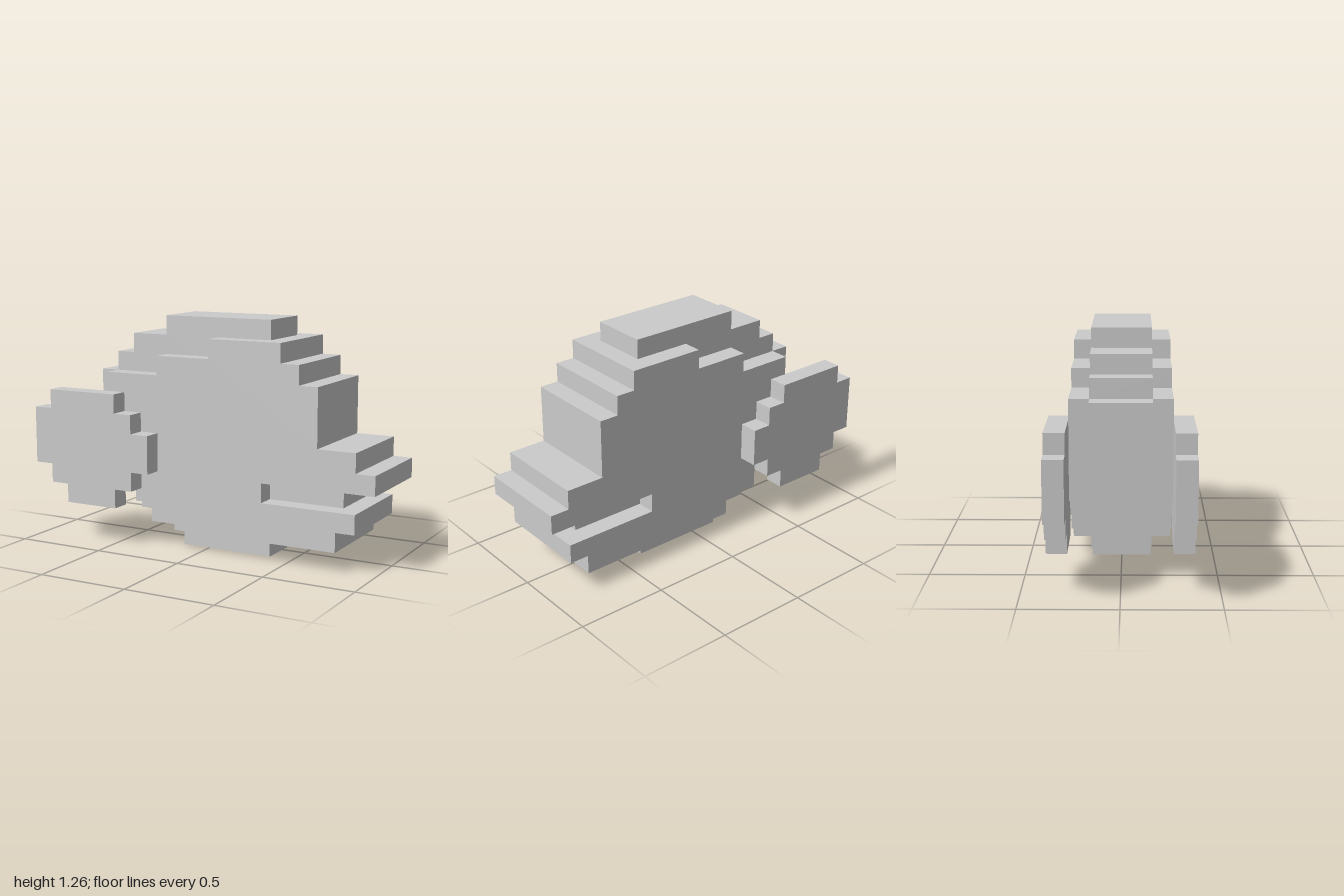
import * as THREE from 'three';

const U = 2 / 19; // size of one block
const material = new THREE.MeshStandardMaterial({ color: 0xcccccc, flatShading: true });

// Slab with a stepped outline. rows: [left, right] block columns per row, from the bottom up.
function slab(name, firstRow, rows, z0, z1) {
  const right = [], left = [];
  rows.forEach(([a, b], i) => {
    const y = firstRow + i;
    right.push([b, y], [b, y + 1]);
    left.unshift([a, y + 1], [a, y]);
  });
  // keep only the real corners of the outline
  const all = [...right, ...left];
  const corners = all.filter(([x, y], i) => {
    const [px, py] = all[(i + all.length - 1) % all.length];
    return x !== px || y !== py;
  }).filter(([x, y], i, list) => {
    const [px, py] = list[(i + list.length - 1) % list.length];
    const [nx, ny] = list[(i + 1) % list.length];
    return !(px === x && nx === x) && !(py === y && ny === y);
  });
  const shape = new THREE.Shape(corners.map(([x, y]) => new THREE.Vector2(x * U - 1, y * U)));
  const geometry = new THREE.ExtrudeGeometry(shape, { depth: (z1 - z0) * U, bevelEnabled: false });
  geometry.translate(0, 0, z0 * U);
  const mesh = new THREE.Mesh(geometry, material);
  mesh.name = name;
  return mesh;
}

export function createModel() {
  const model = new THREE.Group();
  model.name = 'blockBird';

  // Middle of the body: belly, closed mouth core, back and crest
  const core = [
    [8, 13], [6, 17], [5, 18], [4, 17], [3, 19], [3, 18],
    [3, 16], [3, 16], [3, 16], [4, 15], [5, 14], [7, 13],
  ];
  model.add(slab('bodyCore', 0, core, -1.5, 1.5));

  // Body sides, with the slit of the mouth cut into the front edge
  const side = [
    [8, 17], [6, 18], [5, 13], [4, 19], [4, 18],
    [4, 16], [4, 16], [4, 16], [7, 15], [10, 14],
  ];
  // Rounded wings at the rear
  const wing = [[2, 5], [1, 6], [0, 7], [0, 7], [0, 6], [1, 5]];

  for (const [s, word] of [[1, 'front'], [-1, 'back']]) {
    const span = (a, b) => (s > 0 ? [a, b] : [-b, -a]);
    model.add(slab(word + 'BodySide', 1, side, ...span(1.5, 2.5)));
    model.add(slab(word + 'Wing', 2, wing, ...span(2.5, 3.5)));
  }
  return model;
}
